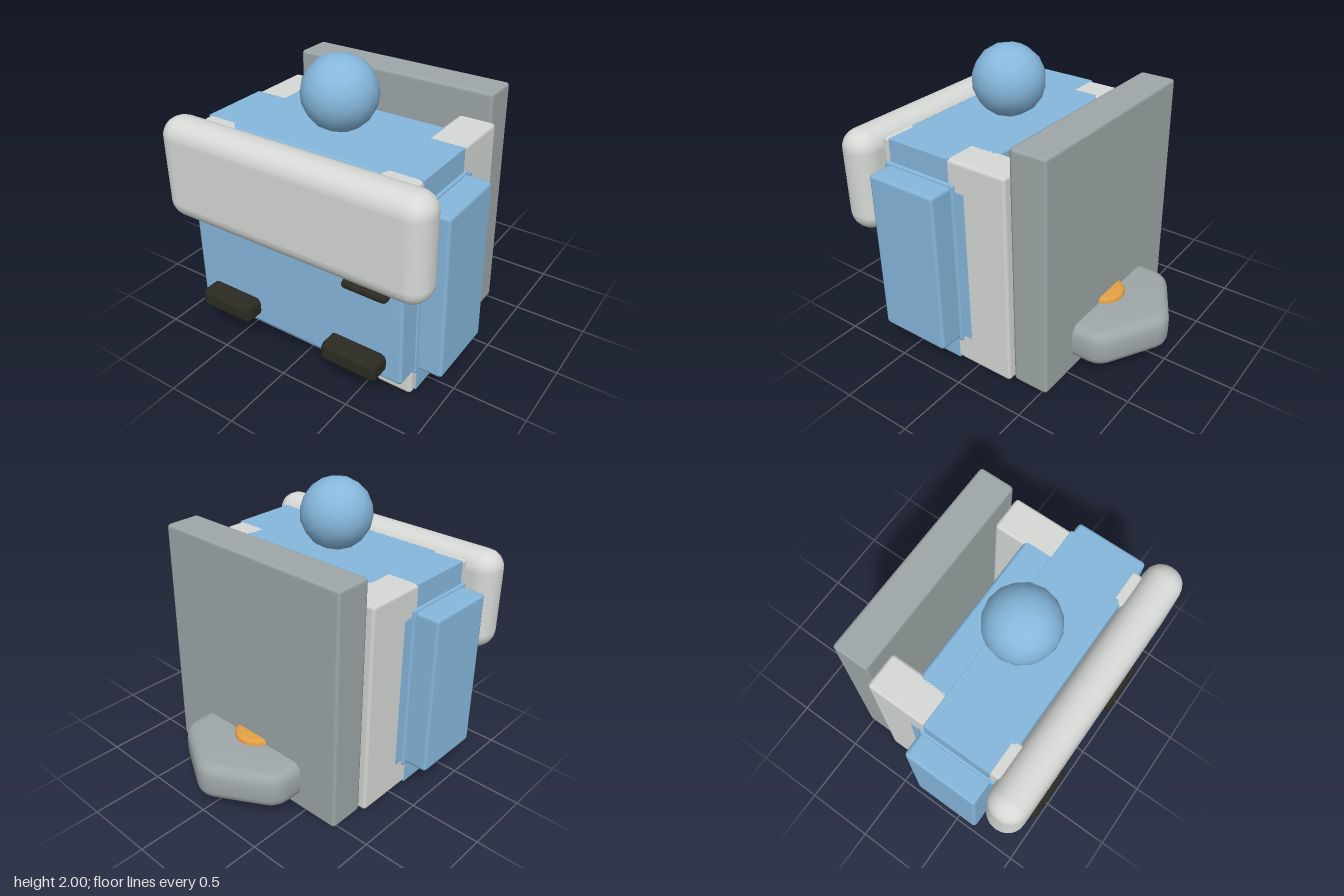
import * as THREE from 'three';
import { RoundedBoxGeometry } from 'three/addons/geometries/RoundedBoxGeometry.js';
import { toCreasedNormals } from 'three/addons/utils/BufferGeometryUtils.js';

const material = (name, color) => {
  const m = new THREE.MeshStandardMaterial({ color });
  m.name = name;
  return m;
};

export function createModel() {
  const model = new THREE.Group();
  const blue = material('blue', 0x86b8dd);
  const white = material('offWhite', 0xd6d9d6);
  const grey = material('grey', 0x9ea7a8);
  const dark = material('dark', 0x2c2b22);
  const orange = material('orange', 0xe3a044);

  const add = (name, geometry, mat) => {
    const mesh = new THREE.Mesh(geometry, mat);
    mesh.name = name;
    model.add(mesh);
    return mesh;
  };

  // Bevelled box given by its limits on each axis
  const box = (name, mat, [x0, x1], [y0, y1], [z0, z1], radius = 0.025, segments = 1) => {
    const g = new RoundedBoxGeometry(x1 - x0, y1 - y0, z1 - z0, segments, radius);
    g.translate((x0 + x1) / 2, (y0 + y1) / 2, (z0 + z1) / 2);
    return add(name, g, mat);
  };

  // Body: central block plus a band that wraps flush around the side frames
  box('body', blue, [-0.6, 0.6], [0.003, 1.527], [-0.05, 0.69]);
  box('bodyBand', blue, [-0.803, 0.803], [0, 1.53], [0.155, 0.645], 0.004);
  box('frontPanel', blue, [-0.81, 0.81], [0.19, 1.36], [0.6, 0.85]);

  for (const side of [1, -1]) {
    const tag = side > 0 ? 'left' : 'right';
    const span = (a, b) => (side > 0 ? [a, b] : [-b, -a]);
    box(tag + 'Frame', white, span(0.54, 0.8), [0.003, 1.527], [-0.275, 0.71]);
    box(tag + 'SideInlay', blue, span(0.78, 0.803), [0.21, 1.32], [0.04, 0.2], 0.004);
    box(tag + 'SideFlange', blue, span(0.7, 0.82), [0.165, 1.37], [0.11, 0.69], 0.02);
    box(tag + 'SidePanel', blue, span(0.75, 0.985), [0.19, 1.35], [0.13, 0.66]);
    box(tag + 'FrontPad', dark, span(0.293, 0.7), [0.255, 0.385], [0.8, 0.985], 0.035);
  }

  // Front bar and the small tab under it
  box('frontBar', white, [-0.985, 0.985], [0.86, 1.575], [0.69, 0.96], 0.13, 3);
  box('smallTab', dark, [0.425, 0.74], [0.83, 0.885], [0.855, 0.935], 0.024);

  // Back plate
  box('backPlate', grey, [-0.76, 0.76], [0, 1.71], [-0.54, -0.278]);

  // Hexagonal tail with rounded corners and edges
  const bevel = 0.07, corner = 0.09;
  const inner = (0.465 - bevel - corner) / Math.cos(Math.PI / 6);
  const outline = [];
  for (let k = 0; k < 6; k++) {
    const a = Math.PI / 2 + k * Math.PI / 3;
    for (const t of [-1, -0.33, 0.33, 1]) {
      const b = a + t * Math.PI / 6;
      outline.push(new THREE.Vector2(
        inner * Math.cos(a) + corner * Math.cos(b),
        inner * Math.sin(a) + corner * Math.sin(b)));
    }
  }
  const tail = new THREE.ExtrudeGeometry(new THREE.Shape(outline), {
    depth: 0.12, bevelSize: bevel, bevelThickness: bevel, bevelSegments: 3,
  });
  tail.rotateX(-Math.PI / 2).translate(0, 0.1 + bevel, -0.478);
  add('hexTail', toCreasedNormals(tail, 0.7), grey);

  // Rounded button on the tail
  const button = new THREE.LatheGeometry(
    [[0.155, 0.34], [0.155, 0.375], [0.145, 0.392], [0.12, 0.4], [0, 0.4]]
      .map(([r, y]) => new THREE.Vector2(r, y)), 16);
  add('tailButton', button, orange).position.z = -0.485;

  // Ball on top
  add('ball', new THREE.IcosahedronGeometry(0.25, 2), blue).position.set(0, 1.752, 0.305);

  return model;
}
